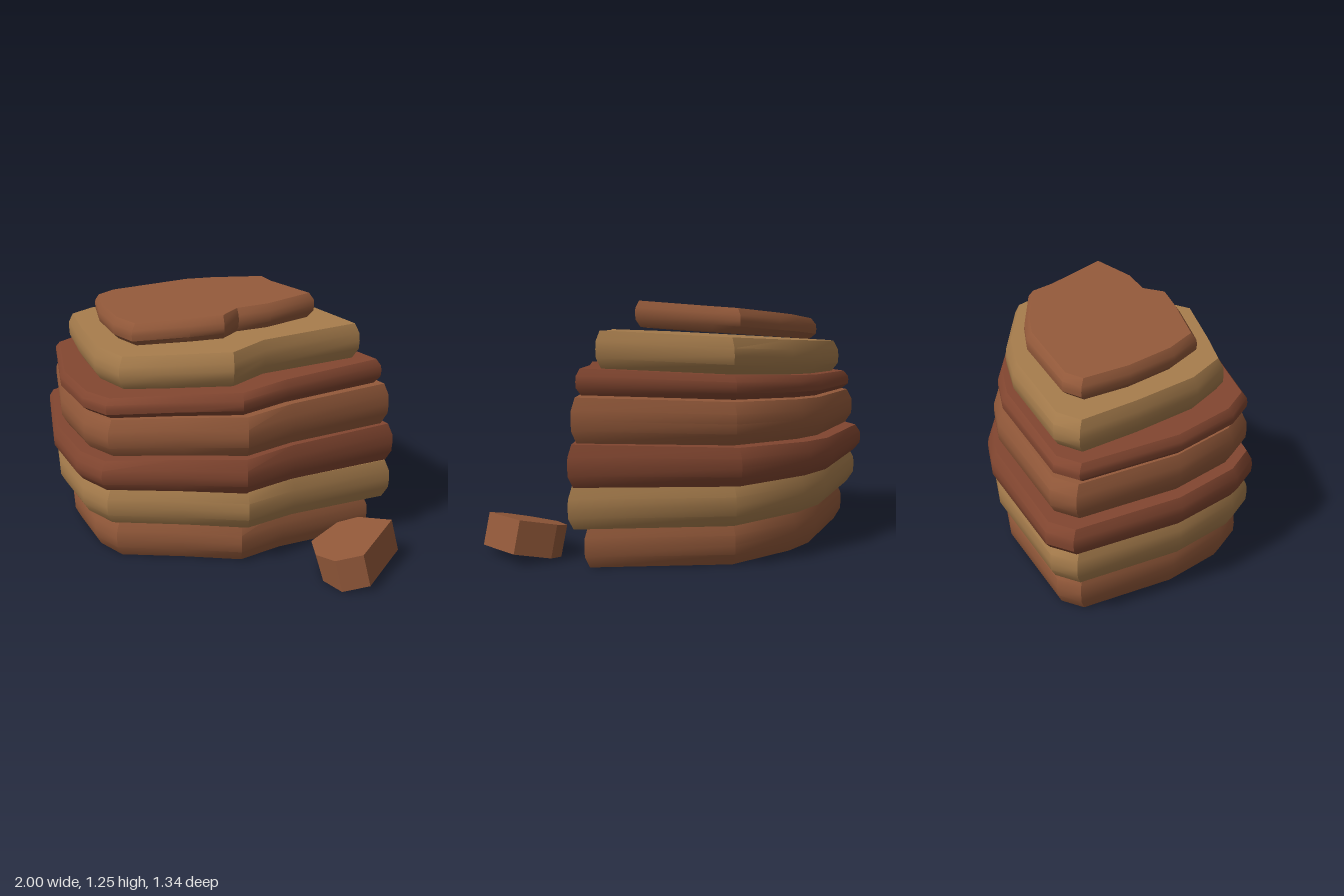
import * as THREE from 'three';
import { toCreasedNormals } from 'three/addons/utils/BufferGeometryUtils.js';

const BROWN = 0x93593a, TAN = 0xa67c4c, RED = 0x824630;

// Outlines as [x, z], running clockwise seen from above
const WIDE = [
  [-1, -0.33], [-0.92, -0.45], [-0.28, -0.66], [-0.06, -0.67], [0.39, -0.58], [0.93, 0.02],
  [0.48, 0.34], [0.28, 0.54], [-0.05, 0.57], [-0.42, 0.62], [-0.58, 0.51], [-0.8, 0.2],
];
const NOTCHED = [
  [-0.85, -0.28], [-0.77, -0.39], [-0.3, -0.54], [-0.06, -0.56], [0.33, -0.49], [0.74, 0.01],
  [0.31, 0.25], [0.19, 0.43], [-0.15, 0.46], [-0.36, 0.47], [-0.53, 0.31], [-0.71, 0],
];
const SUMMIT = [
  [-0.69, -0.25], [-0.63, -0.33], [-0.24, -0.46], [-0.09, -0.46], [0.19, -0.42], [0.26, -0.31], [0.5, -0.03],
  [0.31, 0.12], [0.16, 0.17], [0.11, 0.28], [-0.05, 0.31], [-0.33, 0.34], [-0.46, 0.21], [-0.6, -0.02],
];
const PEBBLE = [
  [0.58, 0.43], [0.69, 0.26], [0.79, 0.23], [0.96, 0.31], [0.85, 0.64], [0.72, 0.665], [0.62, 0.58],
];

const limits = (outline, axis) => {
  const v = outline.map((p) => p[axis]);
  return [Math.min(...v), Math.max(...v)];
};

// Stretch an outline into the box x0..x1, z0..z1, drawn in by an inset
function fit(outline, [x0, x1, z0, z1], inset = 0) {
  const [ax, bx] = limits(outline, 0), [az, bz] = limits(outline, 1);
  return outline.map(([x, z]) => [
    THREE.MathUtils.mapLinear(x, ax, bx, x0 + inset, x1 - inset),
    THREE.MathUtils.mapLinear(z, az, bz, z0 + inset, z1 - inset),
  ]);
}

// Skin a stack of rings (arrays of [x, y, z]) and close both ends
function loft(rings, crease) {
  const pos = [];
  const tri = (a, b, c) => pos.push(...a, ...b, ...c);
  const n = rings[0].length;
  for (let r = 0; r < rings.length - 1; r++) {
    const a = rings[r], b = rings[r + 1];
    for (let i = 0; i < n; i++) {
      const j = (i + 1) % n;
      tri(a[j], a[i], b[i]);
      tri(a[j], b[i], b[j]);
    }
  }
  const bottom = rings[0], top = rings[rings.length - 1];
  const faces = (ring) => THREE.ShapeUtils.triangulateShape(ring.map((p) => new THREE.Vector2(p[0], p[2])), []);
  for (const [a, b, c] of faces(bottom)) tri(bottom[a], bottom[b], bottom[c]);
  for (const [a, b, c] of faces(top)) tri(top[a], top[c], top[b]);
  const geo = new THREE.BufferGeometry();
  geo.setAttribute('position', new THREE.Float32BufferAttribute(pos, 3));
  return toCreasedNormals(geo, crease);
}

// One slab of stone; low and high give its height at the left and right ends
function slab(outline, box, low, high) {
  const profile = [[0, 0.035], [0.27, 0.003], [0.5, 0], [0.72, 0.003], [1, 0.028]];
  const rings = profile.map(([t, inset]) => fit(outline, box, inset).map(([x, z]) => {
    const s = (x - box[0]) / (box[1] - box[0]);
    const y0 = THREE.MathUtils.lerp(low[0], low[1], s);
    const y1 = THREE.MathUtils.lerp(high[0], high[1], s);
    return [x, THREE.MathUtils.lerp(y0, y1, t), z];
  }));
  return loft(rings, 0.65);
}

export function createModel() {
  const group = new THREE.Group();
  const add = (name, geometry, color) => {
    const mesh = new THREE.Mesh(geometry, new THREE.MeshStandardMaterial({ color }));
    mesh.name = name;
    group.add(mesh);
  };

  // Stacked, gradually tilting strata, from the ground up
  const strata = [
    ['baseLayer', BROWN, WIDE, [-0.885, 0.82, -0.59, 0.56], [0, 0], [0.205, 0.205]],
    ['lowerTanLayer', TAN, WIDE, [-0.97, 0.925, -0.64, 0.61], [0.205, 0.205], [0.39, 0.41]],
    ['lowerRedLayer', RED, WIDE, [-1, 0.93, -0.67, 0.625], [0.38, 0.405], [0.515, 0.61]],
    ['middleBrownLayer', BROWN, WIDE, [-0.945, 0.9, -0.63, 0.595], [0.535, 0.61], [0.715, 0.825]],
    ['upperRedLayer', RED, WIDE, [-0.935, 0.855, -0.605, 0.59], [0.72, 0.83], [0.815, 0.955]],
    ['upperTanLayer', TAN, NOTCHED, [-0.85, 0.74, -0.56, 0.475], [0.82, 0.945], [0.985, 1.125]],
    ['summitLayer', BROWN, SUMMIT, [-0.69, 0.505, -0.465, 0.345], [1.0, 1.13], [1.11, 1.255]],
  ];
  for (const [name, color, outline, box, low, high] of strata) add(name, slab(outline, box, low, high), color);

  // Loose fragment resting on the ground, tipped up to the right
  const foot = PEBBLE.map(([x, z]) => [x + 0.04, Math.max(0, 0.06 + 0.25 * (x - 0.96)), z + 0.005]);
  const crown = PEBBLE.map(([x, z]) => [x, 0.22 + 0.25 * (x - 0.96), z]);
  add('looseFragment', loft([foot, crown], 0.5), BROWN);

  return group;
}
